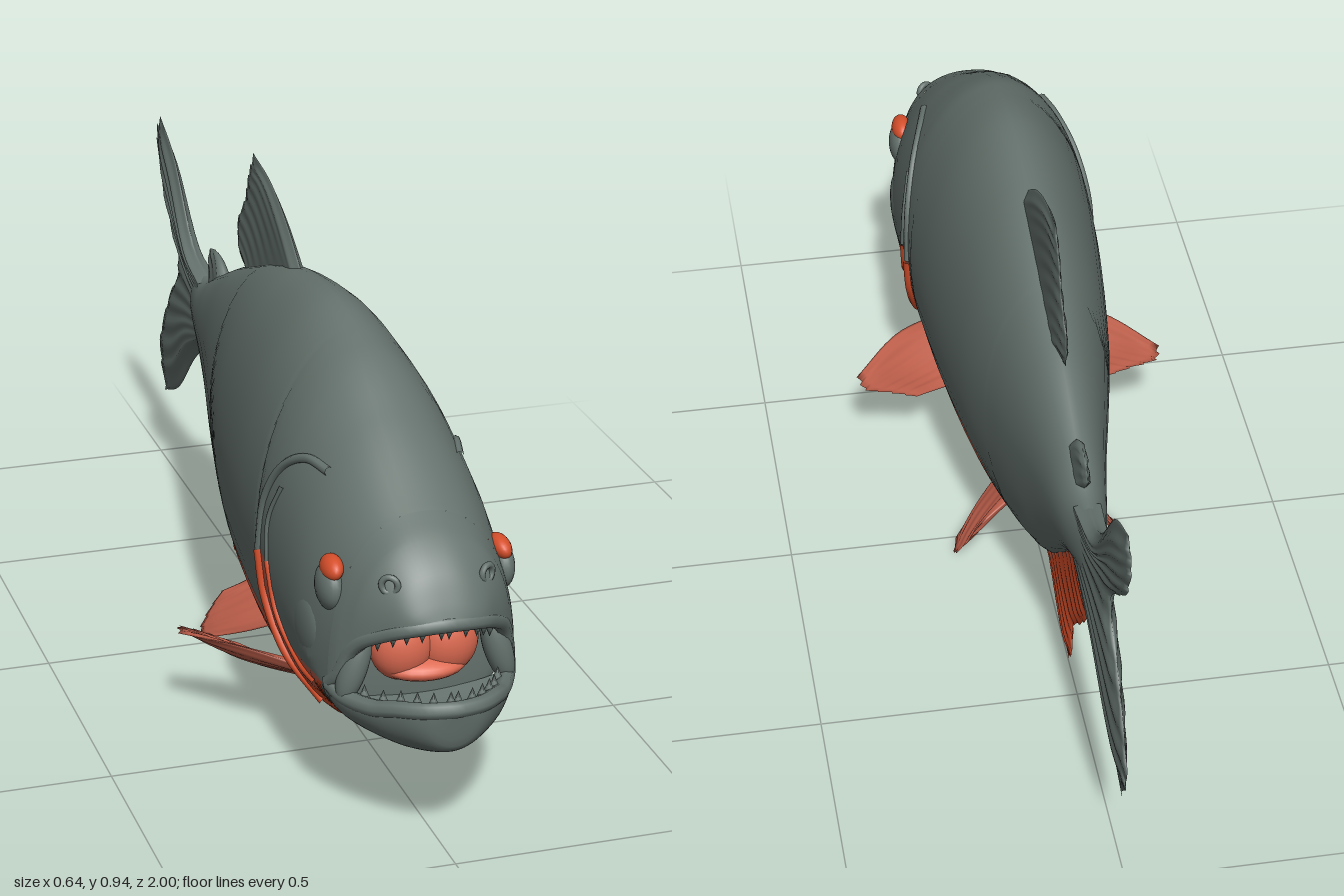
import * as THREE from 'three';
import { mergeVertices } from 'three/addons/utils/BufferGeometryUtils.js';

const { PI, sin, cos, abs, sign, min, max, asin } = Math;

// Smooth monotone profile through [z, value] pairs
function profile(p) {
  const d = p.slice(1).map((q, i) => (q[1] - p[i][1]) / (q[0] - p[i][0]));
  const m = p.map((_, i) => {
    if (i === 0) return d[0];
    if (i === d.length) return d[i - 1];
    return d[i - 1] * d[i] <= 0 ? 0 : 2 * d[i - 1] * d[i] / (d[i - 1] + d[i]);
  });
  return z => {
    let i = 0;
    while (i < d.length - 1 && z > p[i + 1][0]) i++;
    const h = p[i + 1][0] - p[i][0], t = min(1, max(0, (z - p[i][0]) / h));
    const a = t * t * (3 - 2 * t), b = t * (1 - t) * (1 - t), c = t * t * (t - 1);
    return p[i][1] * (1 - a) + p[i + 1][1] * a + h * (m[i] * b + m[i + 1] * c);
  };
}

// Body profiles along z
const top = profile([[-.7, .56], [-.58, .565], [-.47, .61], [-.29, .69], [.085, .81], [.27, .83], [.46, .795],
  [.62, .717], [.8, .605], [.85, .575], [.9, .53], [.93, .48], [.945, .445]]);
const bottom = profile([[-.7, .42], [-.62, .42], [-.55, .4], [-.39, .275], [-.29, .19], [-.15, .125], [-.07, .1],
  [.085, .065], [.3, .05], [.46, .06], [.57, .085], [.67, .13], [.8, .18], [.9, .19], [.95, .205], [.98, .225], [1, .305]]);
const body = [[-.7, 0], [-.66, .02], [-.6, .034], [-.4, .07], [-.2, .112], [0, .15], [.3, .184], [.5, .194], [.65, .193], [.8, .176]];
const upperWidth = profile([...body, [.85, .147], [.9, .104], [.93, .068], [.942, .03], [.945, 0]]);
const jawWidth = profile([...body, [.85, .155], [.9, .128], [.95, .093], [.985, .053], [.997, .02], [1, 0]]);
const spine = [[-.7, .49], [-.5, .49], [0, .44], [.4, .42], [.6, .38], [.8, .29]];
const upperMid = profile([...spine, [.83, .33], [.85, .38], [.9, .42], [.945, .445]]);
const jawMid = profile([...spine, [.85, .277], [.9, .28], [.95, .295], [1, .305]]);
const power = profile([[-.7, 1], [0, 1.06], [.3, 1.08], [.6, 1], [.8, .88], [1, .86]]);
// Upper edge of the red belly, and upper edge of the grey chin
const bellyLine = profile([[-.7, 0], [-.18, 0], [-.15, .12], [-.1, .2], [-.03, .25], [.1, .26], [.25, .25], [.4, .24],
  [.42, .4], [.5, .39], [.53, .3], [.6, .27], [.76, .28], [.8, .28]]);
const chinLine = profile([[-.7, 0], [.68, 0], [.71, .16], [.74, .22], [.78, .28], [.8, .28]]);

// Point on the cross-section at z; k flattens the height
function section(z, a, upper = sin(a) >= 0, k = 1) {
  const e = upper ? power(z) : 1, mid = upper ? upperMid(z) : jawMid(z);
  const h = upper ? top(z) - mid : mid - bottom(z), w = upper ? upperWidth(z) : jawWidth(z);
  const f = v => sign(v) * abs(v) ** e;
  return [w * f(cos(a)), mid + k * h * f(sin(a)), z];
}
function angleAt(z, y) {
  const mid = upperMid(z), up = y > mid, h = up ? top(z) - mid : mid - bottom(z);
  const t = min(1, max(-1, (y - mid) / max(h, 1e-4)));
  return asin(sign(t) * abs(t) ** (1 / (up ? power(z) : 1)));
}

// Surface from a grid of points; group(j) gives the material index of a column
function grid(rows, cols, fn, group) {
  const pos = [], idx = [], n = cols + 1;
  for (let i = 0; i <= rows; i++) for (let j = 0; j <= cols; j++) pos.push(...fn(i, j));
  let g = new THREE.BufferGeometry();
  for (let j = 0; j < cols; j++) {
    if (group) g.addGroup(idx.length, rows * 6, group(j));
    for (let i = 0; i < rows; i++) {
      const a = i * n + j, c = a + n;
      idx.push(a, a + 1, c, a + 1, c + 1, c);
    }
  }
  g.setAttribute('position', new THREE.Float32BufferAttribute(pos, 3));
  g.setIndex(idx);
  g = mergeVertices(g, 1e-5);
  g.computeVertexNormals();
  return g;
}

// Ribbed, ragged fin spread over a few rays, each a list of points
function finGeometry(rays, thick, ribs) {
  const N = ribs * 6, M = 14, sheet = [];
  const curves = rays.map(r => new THREE.CatmullRomCurve3(r.map(p => new THREE.Vector3(...p))));
  for (let i = 0; i <= M; i++) {
    const row = [];
    for (let j = 0; j <= N; j++) {
      const v = i / M * (1 - .035 * ((j * 5 / 36) % 1) * (j % N ? 1 : 0));
      row.push(new THREE.CatmullRomCurve3(curves.map(c => c.getPoint(v))).getPoint(j / N));
    }
    sheet.push(row);
  }
  return grid(M, 2 * N, (i, c) => {
    const side = c <= N ? 1 : -1, j = c <= N ? c : 2 * N - c, u = j / N, v = i / M;
    const du = sheet[i][min(N, j + 1)].clone().sub(sheet[i][max(0, j - 1)]);
    const dv = sheet[min(M, i + 1)][j].clone().sub(sheet[max(0, i - 1)][j]);
    const rim = min(1, 10 * u, 10 * (1 - u)) * min(1, 6 * (1 - v));
    const t = thick * (1 - .6 * v) * (1 + .22 * v * (cos(2 * PI * ribs * u) - 1)) * rim;
    return sheet[i][j].clone().addScaledVector(du.cross(dv).normalize(), side * t).toArray();
  });
}

export function createModel() {
  const model = new THREE.Group();
  const paint = (name, color) => {
    const m = new THREE.MeshStandardMaterial({ color });
    m.name = name;
    return m;
  };
  const grey = paint('slate grey', 0x66736e), red = paint('belly red', 0xd64f2b);
  const finRed = paint('dull fin red', 0xbe5f4b), analRed = paint('bright fin red', 0xe6552e);
  const flesh = paint('mouth flesh', 0xde6b52);
  const add = (name, geo, mat) => {
    const mesh = new THREE.Mesh(geo, mat);
    mesh.name = name;
    model.add(mesh);
    return mesh;
  };
  const ball = (name, mat, p, s) => {
    const m = add(name, new THREE.SphereGeometry(1, 24, 16), mat);
    m.position.set(...p);
    m.scale.set(...s);
    return m;
  };
  const tube = (name, mat, pts, r) => add(name, new THREE.TubeGeometry(
    new THREE.CatmullRomCurve3(pts.map(p => new THREE.Vector3(...p))), 48, r, 8), mat);

  // Body: chin, belly, paler belly edge and back bands, mirrored around the ring
  const S = 8, K = 16, H = 2 * S + K, ROWS = 120;
  add('body', grid(ROWS, 2 * H, (i, c) => {
    const z = -.7 + 1.5 * i / ROWS, j = c <= H ? c : 2 * H - c;
    const aC = angleAt(z, chinLine(z)), aB = max(aC, angleAt(z, bellyLine(z)));
    const a = j <= S ? -PI / 2 + (aC + PI / 2) * j / S
      : j <= 2 * S ? aC + (aB - aC) * (j - S) / S : aB + (PI / 2 - aB) * (j - 2 * S) / K;
    const p = section(z, a);
    return c <= H ? p : [-p[0], p[1], z];
  }, c => {
    const j = c < H ? c : 2 * H - 1 - c;
    return j < S || j >= 2 * S ? 0 : j >= 2 * S - 2 ? 2 : 1;
  }), [grey, red, finRed]);

  // Open jaws: outer shell, inner lining, lip and teeth
  for (const [name, up, tip, lining] of [['upperJaw', true, .945, flesh], ['lowerJaw', false, 1, grey]]) {
    const shell = (k, inward) => grid(24, 40, (i, j) => section(.8 + (tip - .8) * (1 - (1 - i / 24) ** 2),
      (up ? 0 : PI) + PI * (inward ? 40 - j : j) / 40, up, k));
    add(name, shell(1, false), grey);
    add(name + 'Lining', shell(.35, true), lining);
    const edge = t => {
      const z = .8 + (tip - .8) * (1 - t * t);
      return [sign(t) * (up ? upperWidth(z) : jawWidth(z)) * .95, up ? upperMid(z) : jawMid(z), z - .012];
    };
    tube(name + 'Lip', grey, Array.from({ length: 25 }, (_, i) => edge(i / 12 - 1)), .016);
    for (let i = 0; i < 12; i++) {
      const [x, y, z] = edge((i - 5.5) / 7);
      const tooth = add(name + 'Tooth', new THREE.ConeGeometry(.01, .026, 6), grey);
      tooth.position.set(x * .93, y + (up ? -.022 : .02), z - .008);
      if (up) tooth.rotation.x = PI;
    }
  }
  ball('mouthBack', grey, [0, .33, .79], [.165, .13, .015]);
  for (const s of [1, -1]) ball('throat', flesh, [s * .042, .36, .81], [.06, .07, .05]);
  ball('tongue', flesh, [0, .315, .81], [.08, .025, .06]);

  for (const s of [1, -1]) {
    // Jaw plates at the mouth corners
    const plate = ball('jawPlate', grey, [s * .135, .335, .825], [.026, .075, .028]);
    plate.rotation.z = s * .3;

    // Eyes, nostrils and gill covers
    ball('eye', grey, [s * .16, .465, .76], [.025, .045, .045]);
    const patch = ball('eyePatch', red, [s * .158, .502, .765], [.019, .023, .037]);
    patch.rotation.z = s * .4;
    ball('cheek', grey, [s * .172, .36, .68], [.022, .07, .08]);
    const nostril = add('nostril', new THREE.TorusGeometry(.015, .006, 8, 20), grey);
    nostril.position.set(s * .09, .51, .885);
    nostril.rotation.y = s * .6;
    const ridge = (name, mat, pts, r) => tube(name, mat, pts.map(([z, y]) => {
      const p = section(z, angleAt(z, y));
      return [s * p[0], p[1], z];
    }), r);
    ridge('gillCoverEdge', grey, [[.64, .63], [.57, .63], [.5, .59], [.45, .51], [.43, .4]], .009);
    ridge('gillCoverLowerEdge', red, [[.43, .4], [.45, .31], [.51, .22], [.6, .155]], .011);
    ridge('innerGillRidge', grey, [[.52, .56], [.485, .48], [.49, .4]], .006);
    ridge('innerGillLowerRidge', red, [[.49, .4], [.53, .31], [.62, .25], [.72, .25]], .007);

    // Paired fins
    const paired = (name, rays, t, ribs) => add(name,
      finGeometry(rays.map(r => r.map(([x, y, z]) => [s * x, y, z])), t, ribs), finRed);
    paired('pectoralFin', [
      [[.11, .18, .53], [.22, .203, .44], [.32, .193, .32]],
      [[.1, .16, .48], [.22, .165, .38], [.31, .19, .28]],
      [[.09, .13, .43], [.18, .14, .36], [.255, .17, .285]],
      [[.07, .11, .38], [.14, .125, .34], [.2, .145, .295]]], .012, 7);
    paired('pelvicFin', [
      [[.02, .1, .13], [.1, .05, .06], [.165, .012, -.01]],
      [[.03, .11, .07], [.115, .055, .01], [.175, .008, -.055]],
      [[.03, .13, .01], [.1, .08, -.03], [.155, .04, -.068]],
      [[.03, .14, -.03], [.09, .105, -.05], [.125, .085, -.065]]], .011, 6);
  }

  // Fins on the centre line, rays given as [z, y]
  const median = (name, mat, rays, t, ribs) =>
    add(name, finGeometry(rays.map(r => r.map(([z, y]) => [0, y, z])), t, ribs), mat);
  median('dorsalFin', grey, [
    [[.09, .79], [-.02, .87], [-.13, .92], [-.25, .942]],
    [[0, .79], [-.1, .85], [-.2, .89], [-.285, .89]],
    [[-.1, .74], [-.17, .79], [-.24, .82], [-.31, .83]],
    [[-.2, .69], [-.25, .73], [-.31, .75], [-.367, .755]],
    [[-.27, .66], [-.3, .68], [-.33, .69], [-.35, .7]]], .014, 9);
  median('adiposeFin', grey, [
    [[-.45, .605], [-.49, .635], [-.53, .645]],
    [[-.5, .58], [-.53, .61], [-.575, .632]],
    [[-.54, .56], [-.56, .58], [-.575, .6]]], .016, 3);
  const analRays = [
    [[-.2, .15], [-.26, .09], [-.33, .035], [-.405, .015]],
    [[-.25, .19], [-.32, .13], [-.38, .08], [-.44, .055]],
    [[-.32, .25], [-.37, .19], [-.41, .16], [-.45, .135]],
    [[-.42, .33], [-.46, .28], [-.5, .245], [-.535, .22]],
    [[-.5, .39], [-.54, .34], [-.57, .32], [-.6, .3]],
    [[-.55, .42], [-.57, .41], [-.59, .4], [-.6, .39]]];
  median('analFin', analRed, analRays, .015, 11);
  median('analFinBase', finRed, analRays.map(([a, b]) => [a, b]), .021, 11);
  median('tailFin', grey, [
    [[-.58, .56], [-.7, .59], [-.85, .75], [-.965, .808]],
    [[-.58, .55], [-.72, .57], [-.87, .69], [-1, .77]],
    [[-.58, .53], [-.7, .55], [-.83, .61], [-.965, .675]],
    [[-.58, .5], [-.68, .51], [-.76, .52], [-.82, .525]],
    [[-.58, .47], [-.7, .45], [-.83, .42], [-.92, .4]],
    [[-.58, .44], [-.72, .39], [-.86, .31], [-1, .265]],
    [[-.58, .42], [-.7, .34], [-.84, .22], [-.955, .172]]], .026, 12);

  return model;
}
